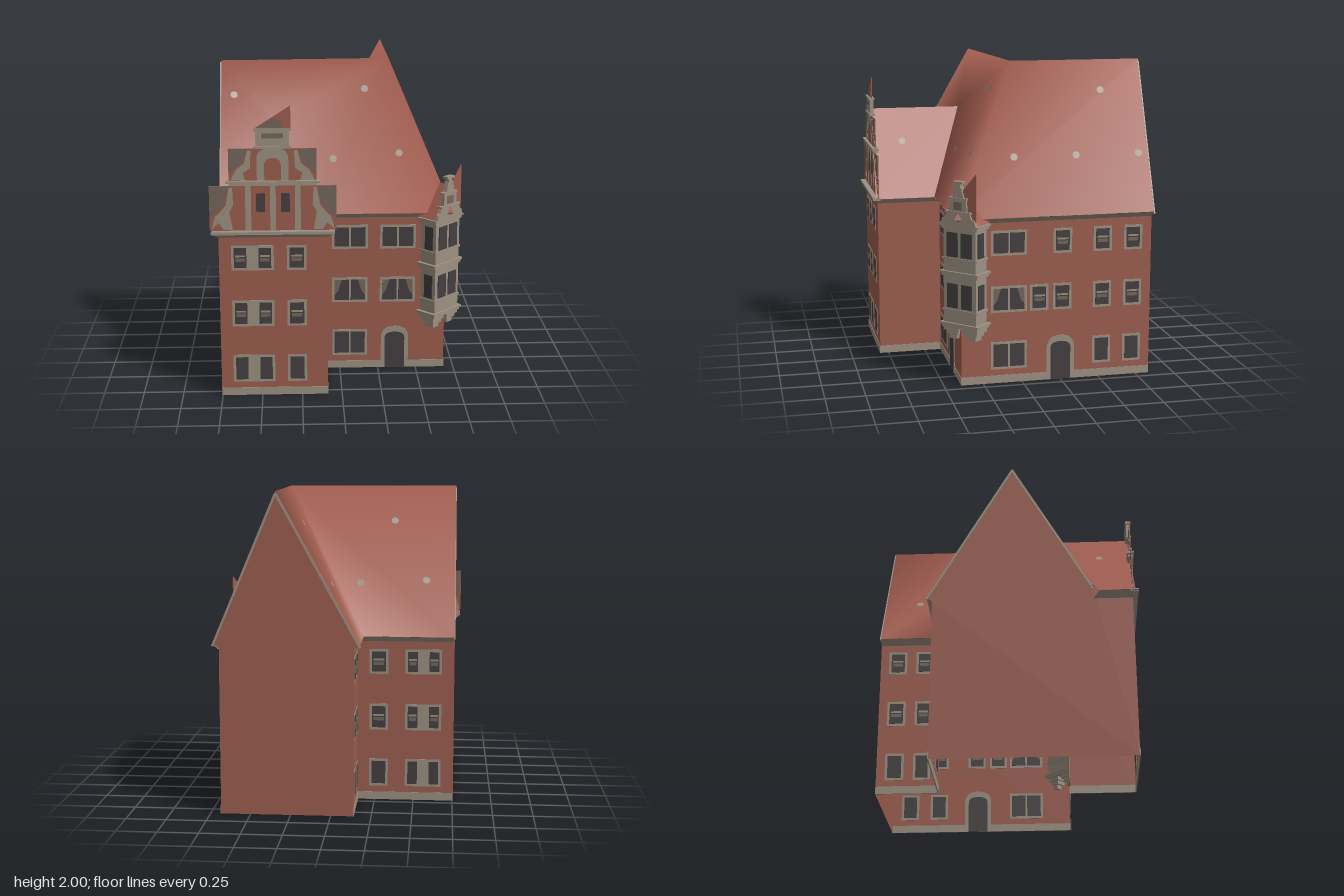
import * as THREE from 'three';

const mat = (name, color, side = THREE.FrontSide) => {
  const m = new THREE.MeshStandardMaterial({ color, side });
  m.name = name;
  return m;
};

export function createModel() {
  const model = new THREE.Group();
  model.name = 'townHouse';
  const wallRed = mat('wallRed', 0x9c5d4e, THREE.DoubleSide);
  const roofRed = mat('roofRed', 0xa35d50, THREE.DoubleSide);
  const stone = mat('stone', 0x9c9081, THREE.DoubleSide);
  const glass = mat('darkGlass', 0x443f40);
  const taupe = mat('taupe', 0x74665b, THREE.DoubleSide);

  const add = (parent, name, geo, material, x = 0, y = 0, z = 0) => {
    const m = new THREE.Mesh(geo, material);
    m.name = name;
    m.position.set(x, y, z);
    parent.add(m);
    return m;
  };
  const box = (parent, name, material, w, h, d, x, y, z = 0) =>
    add(parent, name, new THREE.BoxGeometry(w, h, d), material, x, y, z);
  const shapeOf = pts => new THREE.Shape(pts.map(p => new THREE.Vector2(...p)));
  // thin plate centred on its plane
  const plate = (parent, name, material, shape, d = 0.006, z = 0) => {
    const g = new THREE.ExtrudeGeometry(shape, { depth: d, bevelEnabled: false, curveSegments: 8 });
    return add(parent, name, g.translate(0, 0, -d / 2), material, 0, 0, z);
  };
  const surface = (parent, name, material, verts, idx, flat = false) => {
    let g = new THREE.BufferGeometry();
    g.setAttribute('position', new THREE.Float32BufferAttribute(verts.flat(), 3));
    g.setIndex(idx.flat());
    if (flat) g = g.toNonIndexed();
    g.computeVertexNormals();
    return add(parent, name, g, material);
  };

  // ---- windows and doors, in a wall's own plane ----
  // kind: 's' single, 'd' joined pair, 'g' pair with wide pier; extra: 'bar' or 'curtain'
  function win(parent, u, y, w, h, kind = 's', extra = '') {
    const g = new THREE.Group();
    g.name = 'window';
    g.position.set(u, y, 0);
    parent.add(g);
    box(g, 'windowFrame', stone, w, h, 0.006, 0, 0);
    const rim = 0.016, gap = kind === 'g' ? 0.075 : 0.012;
    const pw = kind === 's' ? w - 2 * rim : (w - 2 * rim - gap) / 2;
    const ph = h - 2 * rim;
    for (const s of kind === 's' ? [0] : [-1, 1]) {
      const px = s * (pw + gap) / 2;
      box(g, 'pane', glass, pw, ph, 0.0085, px, 0);
      if (extra === 'bar') {
        box(g, 'sashBar', stone, pw * 0.8, 0.012, 0.0095, px, 0.012);
        box(g, 'blind', taupe, pw * 0.75, 0.022, 0.0095, px, -0.012);
      }
      if (extra === 'curtain') {
        const c = plate(g, 'curtain', taupe, shapeOf([[0, ph / 2], [pw / 2 * s, ph / 2],
          [pw / 2 * s, -ph * 0.25], [pw * 0.25 * s, -ph * 0.05], [pw * 0.1 * s, ph * 0.3]]), 0.0095);
        c.position.x = px;
      }
    }
  }
  function arch(w, h, rise) {
    const s = new THREE.Shape();
    s.moveTo(-w / 2, 0);
    s.lineTo(w / 2, 0);
    s.lineTo(w / 2, h - rise);
    s.bezierCurveTo(w / 2, h - rise * 0.3, w * 0.3, h, 0, h);
    s.bezierCurveTo(-w * 0.3, h, -w / 2, h - rise * 0.3, -w / 2, h - rise);
    return s;
  }
  function door(parent, u) {
    plate(parent, 'doorFrame', stone, arch(0.18, 0.29, 0.08), 0.008).position.x = u;
    plate(parent, 'doorLeaf', glass, arch(0.13, 0.25, 0.04), 0.0095).position.x = u;
  }

  // ---- walls: each runs left to right seen from outside, with a plinth ----
  function wall(name, [x0, z0], [x1, z1]) {
    const g = new THREE.Group();
    g.name = name;
    g.position.set(x0, 0, z0);
    g.rotation.y = Math.atan2(z0 - z1, x1 - x0);
    model.add(g);
    const L = Math.hypot(x1 - x0, z1 - z0);
    add(g, 'wallFace', new THREE.PlaneGeometry(L, 1.045), wallRed, L / 2, 0.5225, 0);
    box(g, 'plinth', stone, L, 0.05, 0.007, L / 2, 0.025);
    return g;
  }
  const rows = [0.18, 0.545, 0.905], hs = [0.18, 0.17, 0.16];
  const bay = wall('bayFront', [-0.755, 0.805], [-0.09, 0.805]);
  wall('baySide', [-0.09, 0.805], [-0.09, 0.39]);
  const front = wall('mainFront', [-0.09, 0.39], [0.685, 0.39]);
  const east = wall('eastWall', [0.685, 0.39], [0.685, -0.84]);
  const courtWest = wall('courtWestWall', [-0.14, -0.84], [-0.14, -0.44]);
  const courtBack = wall('courtBackWall', [-0.14, -0.44], [-0.755, -0.44]);
  rows.forEach((y, i) => {
    const h = hs[i], bar = i ? 'bar' : '', cur = i === 1 ? 'curtain' : '';
    win(bay, 0.205, y, 0.26, h, 'g', bar);
    win(bay, 0.475, y, 0.12, h, 's', bar);
    win(front, 0.155, y, 0.23, h, 'd', cur);
    if (i) win(front, 0.465, y, 0.23, h, 'd', cur);
    win(east, 0.305, y, 0.23, h, 'd', cur);
    win(east, 0.91, y, 0.12, h, 's', bar);
    win(east, 1.11, y, 0.12, h, 's', bar);
    if (i) win(east, 0.65, y, 0.12, h, 's', bar);
    if (i === 1) win(east, 0.5, y, 0.12, h, 's', bar);
    win(courtWest, 0.115, y, 0.12, h, 's', bar);
    win(courtWest, 0.29, y, 0.11, h, 's', bar);
    win(courtBack, 0.135, y, 0.12, h, 's', bar);
    win(courtBack, 0.42, y, 0.23, h, 'g', bar);
  });
  door(front, 0.45);
  door(east, 0.64);

  // ---- blind gable walls ----
  add(model, 'westGable', new THREE.ShapeGeometry(shapeOf([[-0.44, 0], [0.805, 0], [0.805, 1.06],
    [0.56, 1.12], [0.06, 2], [-0.475, 1.07], [-0.44, 1.04]])), wallRed, -0.755).rotation.y = -Math.PI / 2;
  add(model, 'backGable', new THREE.ShapeGeometry(shapeOf([[-0.14, 0], [0.685, 0], [0.685, 1.04],
    [0.725, 1.07], [0.33, 2], [-0.18, 1.07], [-0.14, 1.04]])), wallRed, 0, 0, -0.84);
  add(model, 'bayGableFill', new THREE.ShapeGeometry(shapeOf([[-0.755, 1.04], [-0.09, 1.04],
    [-0.42, 1.61]])), wallRed, 0, 0, 0.79);

  // ---- main L-shaped roof, softly shaded over hips and valleys ----
  const rv = [[-0.755, 2, 0.06], [0.33, 2, 0], [0.33, 2, -0.845], [-0.42, 1.63, 0.2], [-0.755, 1.12, 0.56],
    [-0.05, 1.07, 0.43], [0.725, 1.07, 0.43], [0.725, 1.07, -0.845], [-0.18, 1.07, -0.845],
    [-0.18, 1.07, -0.475], [-0.755, 1.07, -0.475]];
  const mainRoof = surface(model, 'mainRoof', roofRed, rv, [[0, 4, 3], [0, 3, 1], [3, 5, 1], [5, 6, 1],
    [6, 7, 2], [6, 2, 1], [1, 2, 8], [1, 8, 9], [1, 9, 10], [1, 10, 0]]);
  const bayRoof = surface(model, 'bayRoof', roofRed, [[-0.42, 1.63, 0.2], [-0.42, 1.63, 0.8],
    [-0.8, 1.07, 0.6], [-0.8, 1.07, 0.82], [-0.05, 1.07, 0.43], [-0.05, 1.07, 0.82]],
    [[0, 2, 3], [0, 3, 1], [0, 1, 5], [0, 5, 4]], true);

  // ---- sloping eaves from wall head to roof edge ----
  const eaves = list => {
    const v = [], idx = [];
    list.forEach(([xi, zi, xo, zo], i) => {
      v.push([xi, 1.035, zi], [xo, 1.068, zo]);
      if (i) idx.push([2 * i - 2, 2 * i, 2 * i + 1], [2 * i - 2, 2 * i + 1, 2 * i - 1]);
    });
    surface(model, 'eaves', stone, v, idx, true);
  };
  eaves([[-0.755, 0.56, -0.8, 0.6], [-0.755, 0.805, -0.8, 0.84], [-0.09, 0.805, -0.05, 0.84],
    [-0.09, 0.39, -0.05, 0.43], [0.685, 0.39, 0.725, 0.43], [0.685, -0.84, 0.725, -0.845]]);
  eaves([[-0.14, -0.84, -0.18, -0.845], [-0.14, -0.44, -0.18, -0.475], [-0.755, -0.44, -0.755, -0.475]]);

  // ---- verge strips along the gable edges ----
  for (const [a, b] of [[8, 2], [2, 7], [10, 0], [0, 4]]) {
    const p = new THREE.Vector3(...rv[a]), q = new THREE.Vector3(...rv[b]);
    const verge = box(model, 'verge', stone, 0.008, 0.014, p.distanceTo(q), 0, 0);
    verge.position.copy(p).add(q).multiplyScalar(0.5).y -= 0.014;
    verge.lookAt(q.clone().setY(q.y - 0.014));
  }

  // ---- small round roof vents laid on the slopes ----
  const ray = new THREE.Raycaster();
  for (const [x, z] of [[-0.57, -0.29], [-0.15, -0.31], [-0.36, -0.09], [0.01, -0.61], [0.21, -0.4],
    [0.41, -0.57], [0.575, -0.78], [0.575, -0.37], [0.575, 0.03], [0.17, 0.09], [-0.04, 0.285],
    [0.385, 0.265], [-0.67, 0.16], [-0.56, 0.61], [-0.28, 0.61]]) {
    ray.set(new THREE.Vector3(x, 3, z), new THREE.Vector3(0, -1, 0));
    const hit = ray.intersectObjects([mainRoof, bayRoof])[0];
    if (!hit) continue;
    const n = hit.face.normal;
    const vent = add(model, 'roofVent', new THREE.CircleGeometry(0.024, 8), stone);
    vent.position.copy(hit.point).addScaledVector(n, 0.004);
    vent.lookAt(vent.position.clone().add(n));
  }

  // ---- stepped show gable above the bay, mirrored about its axis ----
  const gable = new THREE.Group();
  gable.name = 'showGable';
  gable.position.set(-0.42, 0, 0.805);
  model.add(gable);
  const flip = (pts, s) => shapeOf(pts.map(([x, y]) => [x * s, y]));
  box(gable, 'lowerCornice', stone, 0.75, 0.018, 0.05, 0, 1.07, 0.01);
  box(gable, 'lowerTier', wallRed, 0.77, 0.28, 0.006, 0, 1.22);
  box(gable, 'middleCornice', stone, 0.53, 0.014, 0.03, 0, 1.37);
  box(gable, 'middleCorniceTop', stone, 0.57, 0.014, 0.045, 0, 1.386);
  box(gable, 'middleTier', wallRed, 0.53, 0.2, 0.006, 0, 1.49);
  plate(gable, 'middleArchSurround', stone, arch(0.19, 0.2, 0.06), 0.008).position.y = 1.393;
  plate(gable, 'middleArch', wallRed, arch(0.1, 0.14, 0.05), 0.0095).position.y = 1.393;
  box(gable, 'upperTier', stone, 0.2, 0.12, 0.024, 0, 1.65);
  for (const y of [1.6, 1.705]) box(gable, 'upperCornice', stone, 0.225, 0.014, 0.036, 0, y);
  box(gable, 'upperPanel', taupe, 0.13, 0.03, 0.03, 0, 1.67);
  plate(gable, 'crest', wallRed, shapeOf([[-0.11, 1.71], [0.11, 1.71], [0.11, 1.85]]));
  plate(gable, 'crestOrnament', taupe, shapeOf([[-0.1, 1.712], [0.06, 1.712], [0.06, 1.75], [0.0, 1.775]]), 0.009);
  box(gable, 'centrePilaster', stone, 0.035, 0.28, 0.009, 0, 1.22);
  for (const s of [-1, 1]) {
    box(gable, 'pilaster', stone, 0.035, 0.28, 0.009, s * 0.15, 1.22);
    const w = new THREE.Group();
    w.name = 'gableWindow';
    w.position.x = s * 0.075;
    gable.add(w);
    win(w, 0, 1.255, 0.085, 0.15);
    plate(gable, 'lowerScroll', stone, flip([[0.375, 1.085], [0.33, 1.13], [0.3, 1.085], [0.245, 1.085],
      [0.265, 1.2], [0.24, 1.24], [0.245, 1.35], [0.265, 1.35], [0.285, 1.24], [0.325, 1.19], [0.35, 1.17]], s), 0.009);
    plate(gable, 'lowerCorner', taupe, flip([[0.384, 1.36], [0.27, 1.36], [0.29, 1.25], [0.33, 1.2], [0.384, 1.16]], s), 0.0075);
    plate(gable, 'middleScroll', stone, flip([[0.255, 1.395], [0.165, 1.395], [0.18, 1.44], [0.135, 1.47],
      [0.13, 1.58], [0.15, 1.58], [0.17, 1.5], [0.22, 1.46]], s), 0.009);
    plate(gable, 'middleCorner', taupe, flip([[0.264, 1.59], [0.15, 1.59], [0.175, 1.51], [0.225, 1.47], [0.264, 1.42]], s), 0.0075);
  }

  // ---- corner oriel set diagonally ----
  const oriel = new THREE.Group();
  oriel.name = 'cornerOriel';
  oriel.position.set(0.695, 0, 0.4);
  oriel.rotation.y = Math.PI / 4;
  model.add(oriel);
  box(oriel, 'orielBody', stone, 0.24, 0.64, 0.12, 0, 0.71, -0.06);
  for (const y of [0.39, 0.72, 1.02]) {
    box(oriel, 'orielCornice', stone, 0.285, 0.014, 0.15, 0, y + 0.008, -0.061);
    box(oriel, 'orielMoulding', stone, 0.265, 0.016, 0.136, 0, y - 0.008, -0.061);
  }
  for (const y of [0.485, 0.815]) box(oriel, 'orielSill', stone, 0.255, 0.014, 0.132, 0, y, -0.061);
  for (const y of [0.58, 0.905]) {
    for (const s of [-1, 1]) {
      box(oriel, 'orielPane', glass, 0.08, 0.155, 0.008, s * 0.052, y, 0.001);
      box(oriel, 'orielSidePane', glass, 0.008, 0.155, 0.065, s * 0.121, y, -0.055);
    }
  }
  for (const s of [-1, 1]) {
    [[0.11, 0.365], [0.085, 0.34], [0.055, 0.31]].forEach(([w, y], i) =>
      box(oriel, 'corbel', stone, w, 0.032, 0.11 - i * 0.022, s * 0.07, y, -0.06));
  }
  // oriel roof and stepped gablet
  surface(oriel, 'orielRoof', roofRed, [[0, 1.25, 0], [0, 1.25, -0.2], [-0.14, 1.04, 0], [-0.14, 1.04, -0.12],
    [0.14, 1.04, 0], [0.14, 1.04, -0.12]], [[0, 1, 3], [0, 3, 2], [0, 4, 5], [0, 5, 1]], true);
  const half = [[0.13, 1.03], [0.12, 1.07], [0.1, 1.075], [0.085, 1.11], [0.065, 1.12], [0.06, 1.19], [0.04, 1.21], [0.025, 1.27]];
  plate(oriel, 'gablet', stone, shapeOf([...half, ...half.map(([x, y]) => [-x, y]).reverse()]), 0.03);
  box(oriel, 'gabletCornice', stone, 0.19, 0.012, 0.045, 0, 1.115);
  box(oriel, 'gabletCorniceTop', stone, 0.135, 0.012, 0.04, 0, 1.2);
  box(oriel, 'finial', stone, 0.07, 0.014, 0.04, 0, 1.3);
  box(oriel, 'finialNeck', stone, 0.035, 0.04, 0.03, 0, 1.275);
  box(oriel, 'gabletNiche', taupe, 0.06, 0.05, 0.006, 0, 1.155, 0.015);
  plate(oriel, 'gabletBackPlate', wallRed, shapeOf([[0.0, 1.06], [0.125, 1.06], [0.125, 1.36], [0.0, 1.22]]));
  return model;
}
